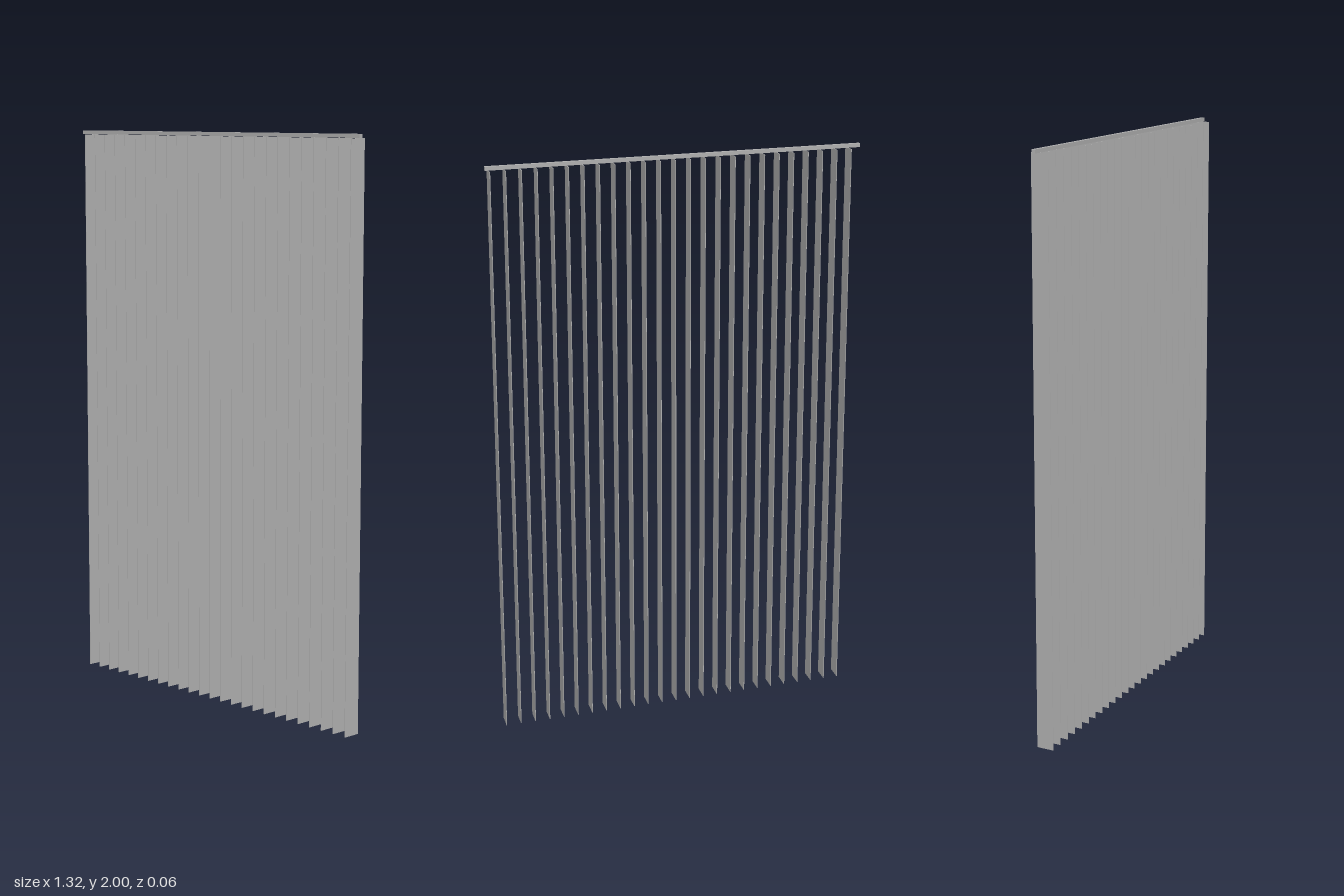
import * as THREE from 'three';

const SLATS = 25, FIRST_X = -0.62, PITCH = 0.0528;
const HEIGHT = 1.986, WIDTH = 0.062, THICKNESS = 0.002, TILT = -0.07;

export function createModel() {
  const model = new THREE.Group();
  model.name = 'verticalBlind';
  const material = new THREE.MeshStandardMaterial({ color: 0xaeaeae });

  // Head rail
  const rail = new THREE.Mesh(new THREE.BoxGeometry(1.32, 0.013, 0.013), material);
  rail.name = 'headRail';
  rail.position.y = 2 - 0.0065;
  model.add(rail);

  // Evenly spaced row of thin hanging slats, each turned almost edge-on
  const slatGeometry = new THREE.BoxGeometry(THICKNESS, HEIGHT, WIDTH);
  const slats = new THREE.Group();
  slats.name = 'slats';
  for (let i = 0; i < SLATS; i++) {
    const slat = new THREE.Mesh(slatGeometry, material);
    slat.name = `slat${i + 1}`;
    slat.position.set(FIRST_X + i * PITCH, HEIGHT / 2, 0);
    slat.rotation.y = TILT;
    slats.add(slat);
  }
  model.add(slats);
  return model;
}
